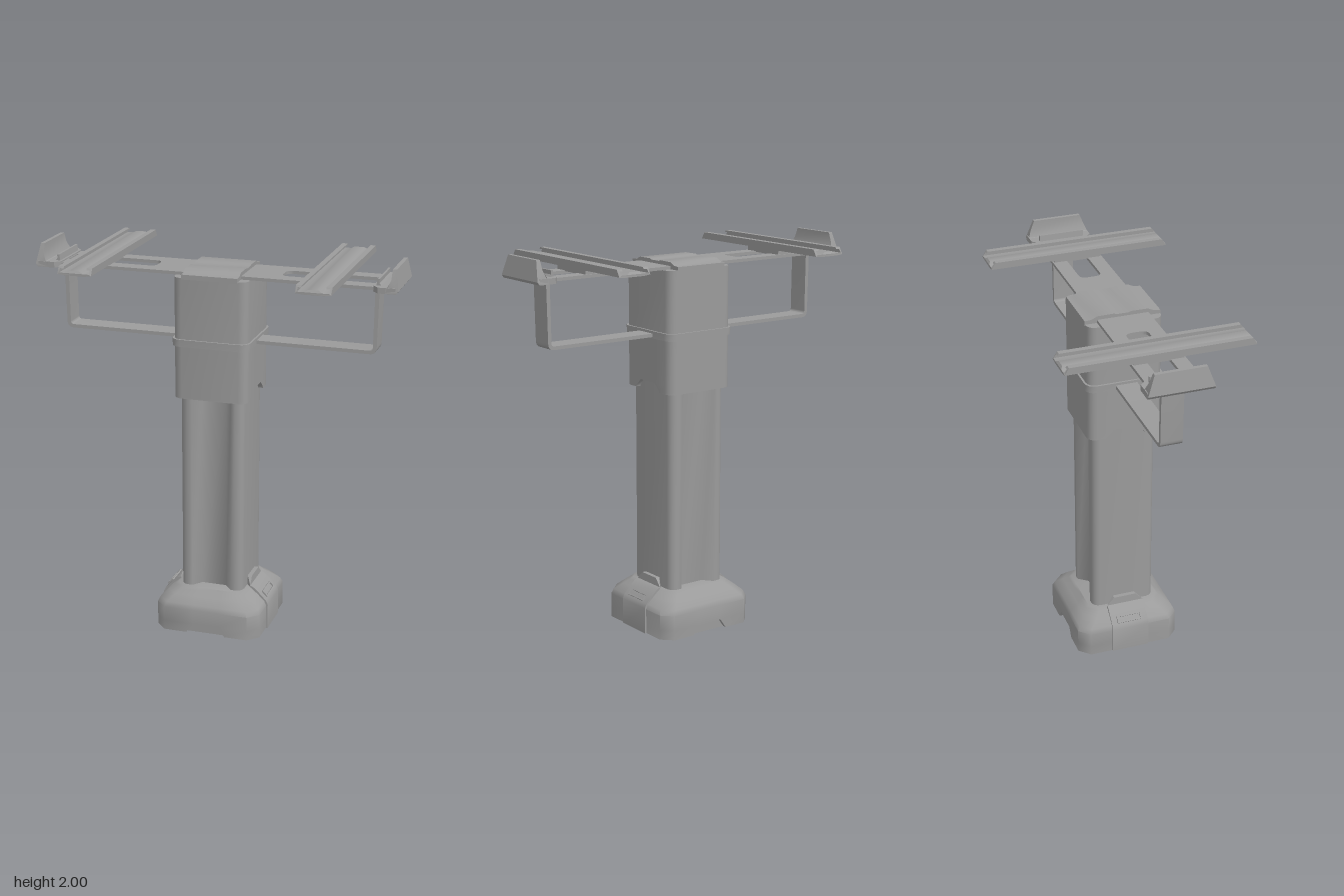
import * as THREE from 'three';
import { toCreasedNormals } from 'three/addons/utils/BufferGeometryUtils.js';

const mat = new THREE.MeshStandardMaterial({ color: 0x9b9b9b });

function part(name, geo, parent, crease = 0.6) {
  const mesh = new THREE.Mesh(toCreasedNormals(geo, crease), mat);
  mesh.name = name;
  parent.add(mesh);
  return mesh;
}

// Rounded rectangle in plan, with optional notches [halfWidth, depth, innerHalfWidth]
// in the middle of the x faces (nx) and z faces (nz)
function plan(hx, hz, r, { nx, nz, seg = 4 } = {}) {
  const pts = [];
  const corners = [[1, 1], [-1, 1], [-1, -1], [1, -1]];
  corners.forEach(([sx, sz], i) => {
    for (let k = 0; k <= seg; k++) {
      const a = (i + k / seg) * Math.PI / 2;
      pts.push(new THREE.Vector2(sx * (hx - r) + r * Math.cos(a), sz * (hz - r) + r * Math.sin(a)));
    }
    const n = i % 2 ? nx : nz;
    if (!n) return;
    const [a, d, b = a] = n;
    [[-a, 0], [-b, d], [b, d], [a, 0]].forEach(([t, depth]) => {
      if (i === 0) pts.push(new THREE.Vector2(-t, hz - depth));
      if (i === 1) pts.push(new THREE.Vector2(depth - hx, -t));
      if (i === 2) pts.push(new THREE.Vector2(t, depth - hz));
      if (i === 3) pts.push(new THREE.Vector2(hx - depth, t));
    });
  });
  return pts;
}

// Skins a stack of [y, outline] rings and closes both ends
function loft(rings) {
  const pos = [], idx = [], n = rings[0][1].length;
  for (const [y, pts] of rings) for (const p of pts) pos.push(p.x, y, p.y);
  for (let j = 0; j < rings.length - 1; j++) {
    for (let i = 0; i < n; i++) {
      const a = j * n + i, b = j * n + (i + 1) % n;
      idx.push(a, a + n, b, b, a + n, b + n);
    }
  }
  const top = (rings.length - 1) * n;
  for (const [a, b, c] of THREE.ShapeUtils.triangulateShape(rings[0][1], [])) idx.push(a, b, c);
  for (const [a, b, c] of THREE.ShapeUtils.triangulateShape(rings[rings.length - 1][1], []))
    idx.push(top + a, top + c, top + b);
  const g = new THREE.BufferGeometry();
  g.setAttribute('position', new THREE.Float32BufferAttribute(pos, 3));
  g.setIndex(idx);
  return g;
}

const polygon = (pts) => new THREE.Shape(pts.map(([x, y]) => new THREE.Vector2(x, y)));

// Extrudes an xy shape along z, centred
function slab(shape, depth) {
  const g = new THREE.ExtrudeGeometry(shape, { depth, bevelEnabled: false, curveSegments: 8 });
  return g.translate(0, 0, -depth / 2);
}

// Moves every vertex by a rule
function reshape(g, rule) {
  const p = g.attributes.position, v = new THREE.Vector3();
  for (let i = 0; i < p.count; i++) {
    rule(v.fromBufferAttribute(p, i));
    p.setXYZ(i, v.x, v.y, v.z);
  }
  return g;
}

export function createModel() {
  const model = new THREE.Group();
  model.name = 'columnStand';

  // Foot with chamfered corners, sloped shoulders and a notch under front and back
  const foot = (y, hx, hz, c, a, d) => [y, plan(hx, hz, c, { nz: [a, d], seg: 1 })];
  part('base', loft([
    foot(0, 0.281, 0.275, 0.055, 0.105, 0.02),
    foot(0.05, 0.281, 0.275, 0.055, 0.07, 0.02),
    foot(0.05, 0.281, 0.275, 0.055, 0.07, 0),
    foot(0.13, 0.281, 0.275, 0.055, 0.07, 0),
    foot(0.155, 0.27, 0.265, 0.055, 0.07, 0),
    foot(0.19, 0.233, 0.228, 0.052, 0.07, 0),
    foot(0.212, 0.207, 0.203, 0.05, 0.06, 0),
    foot(0.225, 0.19, 0.19, 0.045, 0.06, 0),
  ]), model, 0.9);

  // Column with a soft channel down front and back
  const profile = plan(0.168, 0.168, 0.04, { nz: [0.105, 0.05, 0.065] });
  part('column', loft([[0.2, profile], [1.32, profile]]), model, 1.1);

  // Lower collar, cut away at the bottom of both sides
  const collar = (y, a, d) => [y, plan(0.194, 0.194, 0.045, { nx: [a, d] })];
  part('lowerCollar', loft([
    collar(1.265, 0.1, 0.027), collar(1.275, 0.097, 0.027), collar(1.31, 0.06, 0.027),
    collar(1.31, 0.06, 0), collar(1.55, 0.06, 0),
  ]), model);
  const ring = plan(0.204, 0.204, 0.05);
  part('collarRing', loft([[1.54, ring], [1.577, ring]]), model);
  const sleeve = plan(0.194, 0.194, 0.045);
  part('upperSleeve', loft([[1.57, sleeve], [1.892, sleeve]]), model);

  // Crossbar with a long slot on each side
  const bar = polygon([[-0.93, -0.132], [0.93, -0.132], [0.93, 0.132], [-0.93, 0.132]]);
  for (const s of [1, -1]) {
    const slot = new THREE.Path();
    slot.moveTo(s * 0.805, -0.057);
    slot.lineTo(s * 0.365, -0.057);
    slot.quadraticCurveTo(s * 0.33, -0.057, s * 0.33, -0.02);
    slot.lineTo(s * 0.33, 0.02);
    slot.quadraticCurveTo(s * 0.33, 0.057, s * 0.365, 0.057);
    slot.lineTo(s * 0.805, 0.057);
    slot.closePath();
    bar.holes.push(slot);
  }
  part('crossbar', slab(bar, 0.016).rotateX(-Math.PI / 2).translate(0, 1.9, 0), model);

  // Saddle clamping the crossbar to the sleeve, softly stepped, with a shallow groove along its top
  const saddle = slab(polygon([
    [-0.195, 1.885], [0.195, 1.885], [0.195, 1.91], [0.16, 1.913], [0.13, 1.927], [0.045, 1.928],
    [0.03, 1.923], [-0.03, 1.923], [-0.045, 1.928], [-0.13, 1.927], [-0.16, 1.913], [-0.195, 1.91],
  ]), 0.29);
  part('saddle', saddle.rotateY(-Math.PI / 2), model, 0.9);

  for (const [side, turn] of [['left', 0], ['right', Math.PI]]) {
    const half = new THREE.Group();
    half.name = side + 'Side';
    half.rotation.y = turn;
    model.add(half);

    // Foot tab, narrowing above the shoulder
    const tab = slab(polygon([
      [0.15, 0], [0.29, 0], [0.29, 0.135], [0.279, 0.158], [0.242, 0.196], [0.212, 0.224], [0.193, 0.232],
      [0.19, 0.272], [0.167, 0.272], [0.15, 0.228],
    ]), 0.2);
    part('baseTab', reshape(tab, (v) => { if (v.y > 0.25) v.z *= 0.6; }), half);

    // Rim of the slot in the tab
    const rim = polygon([[-0.068, -0.02], [0.068, -0.02], [0.068, 0.02], [-0.068, 0.02]]);
    rim.holes.push(new THREE.Path([[-0.06, -0.012], [-0.06, 0.012], [0.06, 0.012], [0.06, -0.012]]
      .map(([x, y]) => new THREE.Vector2(x, y))));
    const rimMesh = part('tabSlotRim', slab(rim, 0.016), half);
    rimMesh.rotation.set(-Math.PI / 4, Math.PI / 2, 0, 'YXZ');
    rimMesh.position.set(0.26, 0.177, 0);

    // Bent strap bracing the crossbar against the collar ring
    const strap = new THREE.Shape();
    strap.moveTo(0.18, 1.546);
    strap.lineTo(0.785, 1.546);
    strap.quadraticCurveTo(0.819, 1.546, 0.82, 1.58);
    strap.lineTo(0.826, 1.895);
    strap.lineTo(0.805, 1.895);
    strap.lineTo(0.801, 1.58);
    strap.quadraticCurveTo(0.801, 1.564, 0.783, 1.564);
    strap.lineTo(0.18, 1.564);
    part('strap', slab(strap, 0.112), half);

    // End hook: chamfered floor plate, low inner lip and an outer wall tapering upward
    const floor = polygon([
      [0.81, -0.13], [0.838, -0.162], [0.925, -0.162], [0.925, 0.162], [0.838, 0.162], [0.81, 0.13],
    ]);
    part('hookFloor', slab(floor, 0.029).rotateX(-Math.PI / 2).translate(0, 1.8995, 0), half);
    const lip = polygon([[0.822, 1.91], [0.85, 1.91], [0.838, 1.925], [0.838, 1.945], [0.827, 1.945]]);
    part('hookLip', slab(lip, 0.24), half);
    const wall = slab(polygon([
      [0.875, 1.887], [0.928, 1.885], [0.939, 1.9], [0.922, 2.0], [0.902, 2.0], [0.9, 1.95], [0.885, 1.916],
      [0.875, 1.912],
    ]), 0.326);
    part('hookWall', reshape(wall, (v) => { v.z *= 1 - Math.max(0, v.y - 1.912) * 2.5; }), half);

    // Open channel rail with inward lips and a raised middle rib, ends cut at a slant
    const outline = [
      [0.05, 1.934], [0.088, 1.938], [0.088, 1.973], [0.06, 1.973], [0.06, 1.964],
      [0.078, 1.964], [0.078, 1.946], [0.045, 1.946], [0.025, 1.957],
    ];
    const mirrored = outline.map(([x, y]) => [-x, y]).reverse();
    const rail = slab(polygon([...outline, ...mirrored]), 0.944);
    reshape(rail, (v) => { v.z -= Math.sign(v.z) * Math.max(0, v.y - 1.946) * 0.8; });
    part('rail', rail.translate(0.6, 0, 0), half);
    const pad = new THREE.BoxGeometry(0.09, 0.04, 0.25);
    part('railPad', pad.translate(0.6, 1.924, 0), half);
  }
  return model;
}
